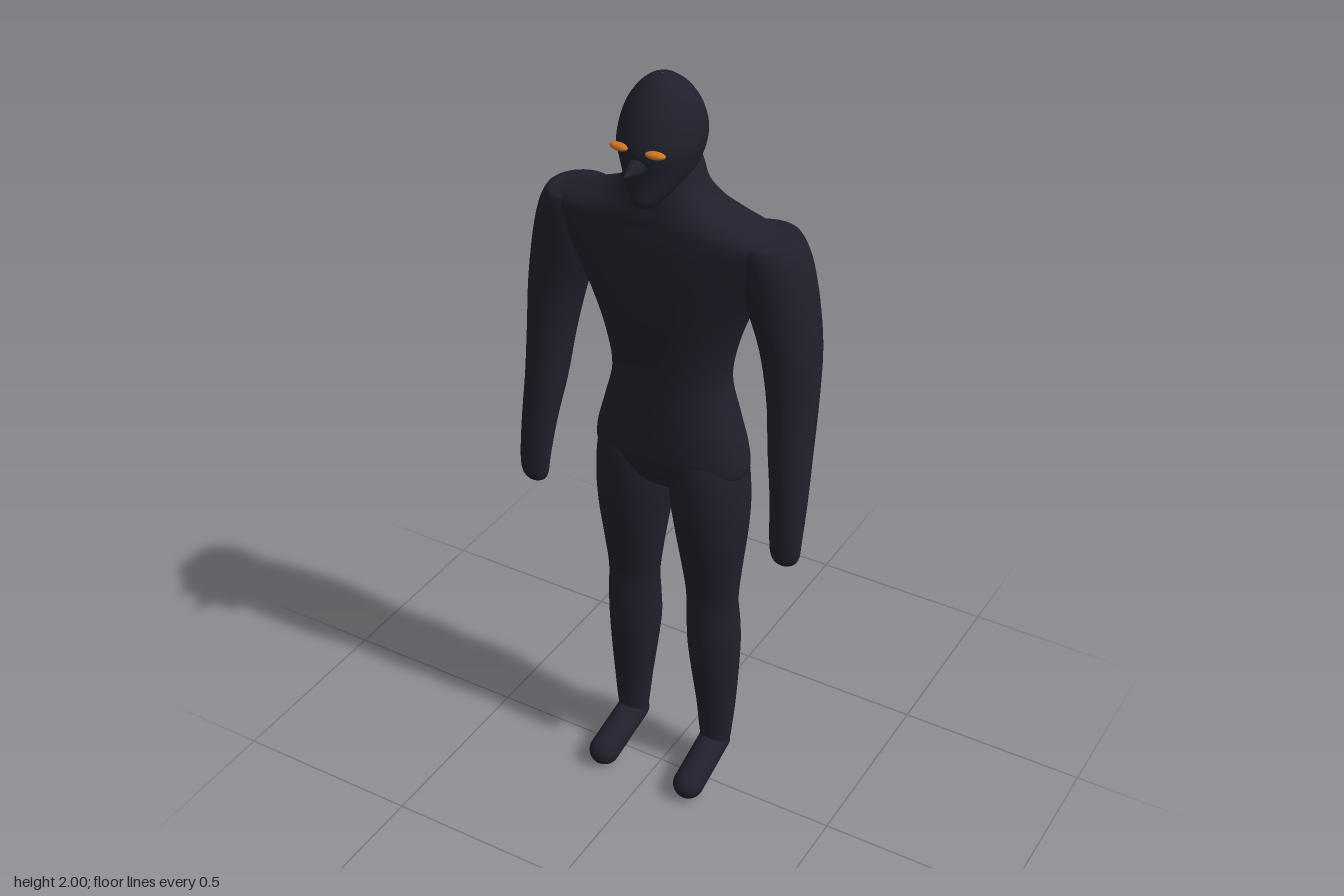
import * as THREE from 'three';

const bodyMat = new THREE.MeshStandardMaterial({ color: 0x20202c });
bodyMat.name = 'dark suit';
const eyeMat = new THREE.MeshStandardMaterial({ color: 0xd07522 });
eyeMat.name = 'orange eyes';

const spline = (a, b, c, d, t) => b + 0.5 * t * (c - a + t * (2 * a - 5 * b + 4 * c - d + t * (3 * (b - c) + d - a)));

// Smooth closed loft through rings [y, centre x, half width, front z, back z], listed upwards
function loft(name, rings, { side = 1, power = 1, sub = 5, seg = 40 } = {}) {
  const rows = [];
  const last = rings.length - 1;
  const at = (i) => rings[Math.min(Math.max(i, 0), last)];
  for (let i = 0; i < last; i++) {
    for (let k = 0; k < sub; k++) {
      rows.push(rings[i].map((v, c) => spline(at(i - 1)[c], v, at(i + 1)[c], at(i + 2)[c], k / sub)));
    }
  }
  rows.push(rings[last]);
  const pos = [], index = [];
  const bend = (v) => Math.sign(v) * Math.abs(v) ** power;
  for (const [y, cx, rx, zf, zb] of rows) {
    for (let j = 0; j < seg; j++) {
      const a = (j / seg) * Math.PI * 2;
      pos.push(side * cx + Math.max(rx, 0.001) * bend(Math.cos(a)), y, (zf + zb) / 2 + Math.max((zf - zb) / 2, 0.001) * bend(Math.sin(a)));
    }
  }
  for (let i = 0; i < rows.length - 1; i++) {
    for (let j = 0; j < seg; j++) {
      const a = i * seg + j, b = i * seg + (j + 1) % seg;
      index.push(a, a + seg, b, b, a + seg, b + seg);
    }
  }
  const geo = new THREE.BufferGeometry();
  geo.setAttribute('position', new THREE.Float32BufferAttribute(pos, 3));
  geo.setIndex(index);
  geo.computeVertexNormals();
  const mesh = new THREE.Mesh(geo, bodyMat);
  mesh.name = name;
  return mesh;
}

const torso = [
  [0.89, 0, 0.002, -0.05, -0.07],
  [0.92, 0, 0.12, 0.01, -0.125],
  [0.97, 0, 0.196, 0.04, -0.155],
  [1.03, 0, 0.2, 0.05, -0.163],
  [1.12, 0, 0.175, 0.05, -0.16],
  [1.22, 0, 0.15, 0.05, -0.155],
  [1.32, 0, 0.165, 0.058, -0.162],
  [1.42, 0, 0.2, 0.068, -0.168],
  [1.52, 0, 0.25, 0.073, -0.163],
  [1.6, 0, 0.29, 0.072, -0.15],
  [1.645, 0, 0.3, 0.068, -0.135],
  [1.675, 0, 0.215, 0.066, -0.125],
  [1.7, 0, 0.15, 0.062, -0.115],
  [1.74, 0, 0.1, 0.055, -0.104],
  [1.79, 0, 0.08, 0.045, -0.098],
  [1.83, 0, 0.06, 0.03, -0.08],
];
const head = [
  [1.708, 0, 0.002, 0.075, 0.07],
  [1.716, 0, 0.024, 0.096, 0.045],
  [1.735, 0, 0.042, 0.105, 0],
  [1.765, 0, 0.066, 0.102, -0.055],
  [1.8, 0, 0.085, 0.103, -0.1],
  [1.85, 0, 0.097, 0.109, -0.12],
  [1.89, 0, 0.094, 0.098, -0.117],
  [1.93, 0, 0.082, 0.08, -0.1],
  [1.965, 0, 0.06, 0.055, -0.074],
  [1.988, 0, 0.035, 0.03, -0.045],
  [1.997, 0, 0.017, 0.013, -0.026],
  [2, 0, 0.001, -0.004, -0.006],
];
const arm = [
  [0.82, 0.355, 0.001, 0.025, 0.023],
  [0.828, 0.355, 0.024, 0.04, 0.006],
  [0.85, 0.356, 0.037, 0.048, 0],
  [0.9, 0.355, 0.042, 0.048, -0.006],
  [1.0, 0.35, 0.047, 0.042, -0.035],
  [1.12, 0.339, 0.054, 0.035, -0.072],
  [1.25, 0.33, 0.06, 0.03, -0.105],
  [1.38, 0.314, 0.072, 0.03, -0.128],
  [1.5, 0.285, 0.086, 0.036, -0.138],
  [1.59, 0.265, 0.085, 0.04, -0.14],
  [1.64, 0.252, 0.076, 0.036, -0.13],
  [1.654, 0.24, 0.066, 0.02, -0.115],
  [1.66, 0.22, 0.001, -0.045, -0.047],
];
const leg = [
  [0.07, 0.127, 0.036, -0.034, -0.108],
  [0.12, 0.127, 0.043, -0.028, -0.112],
  [0.22, 0.126, 0.053, -0.022, -0.12],
  [0.32, 0.122, 0.062, -0.01, -0.131],
  [0.42, 0.118, 0.069, 0, -0.139],
  [0.5, 0.117, 0.07, 0.001, -0.131],
  [0.58, 0.115, 0.07, -0.004, -0.117],
  [0.68, 0.113, 0.08, 0.012, -0.13],
  [0.8, 0.11, 0.094, 0.034, -0.152],
  [0.9, 0.105, 0.101, 0.044, -0.161],
  [1.0, 0.1, 0.095, 0.042, -0.155],
  [1.1, 0.09, 0.06, 0.01, -0.11],
];

// Pointed beak sweeping forward and slightly down from the face
function makeBeak() {
  const geo = new THREE.ConeGeometry(0.037, 0.1, 24, 6);
  geo.rotateX(Math.PI / 2);
  geo.scale(1, 0.95, 1);
  const p = geo.attributes.position;
  for (let i = 0; i < p.count; i++) {
    const t = p.getZ(i) / 0.1 + 0.5;
    p.setY(i, p.getY(i) - 0.004 * t);
  }
  geo.computeVertexNormals();
  const beak = new THREE.Mesh(geo, bodyMat);
  beak.name = 'beak';
  beak.position.set(0, 1.822, 0.115);
  return beak;
}

// Rounded foot running from heel down to toe
function makeFoot(side) {
  const heel = new THREE.Vector3(side * 0.126, 0.086, -0.07);
  const toe = new THREE.Vector3(side * 0.13, 0.043, 0.08);
  const dir = toe.clone().sub(heel);
  const foot = new THREE.Mesh(new THREE.CapsuleGeometry(0.041, dir.length(), 10, 28), bodyMat);
  foot.name = 'foot';
  foot.position.copy(heel).add(toe).multiplyScalar(0.5);
  foot.quaternion.setFromUnitVectors(new THREE.Vector3(0, 1, 0), dir.normalize());
  return foot;
}

export function createModel() {
  const model = new THREE.Group();
  model.name = 'maskedFigure';
  model.add(loft('torso', torso, { power: 0.85, seg: 56 }), loft('head', head), makeBeak());

  for (const side of [1, -1]) {
    const label = side > 0 ? 'left' : 'right';
    const limbs = new THREE.Group();
    limbs.name = label + 'Limbs';
    limbs.add(loft(label + 'Arm', arm, { side }), loft(label + 'Leg', leg, { side }), makeFoot(side));
    model.add(limbs);

    // Narrow almond eye, angled around the face
    const eye = new THREE.Mesh(new THREE.SphereGeometry(1, 24, 16), eyeMat);
    eye.name = label + 'Eye';
    eye.scale.set(0.024, 0.009, 0.012);
    eye.position.set(side * 0.046, 1.859, 0.104);
    eye.rotation.y = side * 0.15;
    model.add(eye);
  }
  return model;
}
